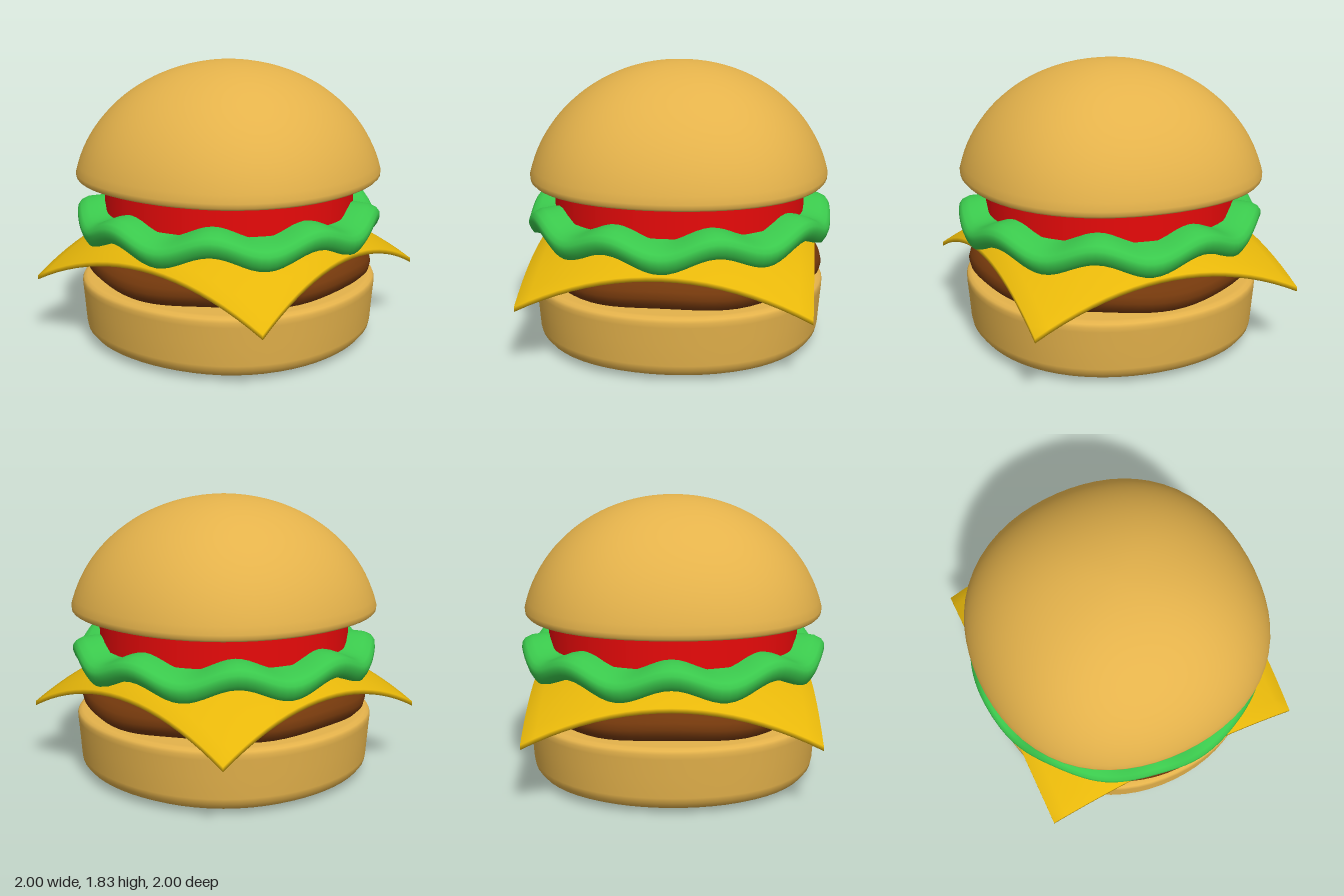
import * as THREE from 'three';
import { mergeVertices } from 'three/addons/utils/BufferGeometryUtils.js';

const material = (name, color) => new THREE.MeshStandardMaterial({ name, color });

// Move every vertex by a rule on (x, y, z), with seams welded and normals smoothed.
function shaped(source, rule) {
  source.deleteAttribute('normal');
  source.deleteAttribute('uv');
  const geometry = mergeVertices(source, 1e-4);
  const p = geometry.attributes.position;
  for (let i = 0; i < p.count; i++) p.setXYZ(i, ...rule(p.getX(i), p.getY(i), p.getZ(i)));
  geometry.computeVertexNormals();
  return geometry;
}

// Revolve [radius, y] points, listed bottom to top.
const turned = (points, segments) =>
  new THREE.LatheGeometry(points.map(([r, y]) => new THREE.Vector2(r, y)), segments);

// Rule: raise or lower by a function of radius and angle from the front.
const wavy = (height) => (x, y, z) => [x, y + height(Math.hypot(x, z), Math.atan2(x, z)), z];

// Rule: swell the diagonals so a round outline becomes slightly square.
const squarish = (amount) => (x, y, z) => {
  const s = 1 + amount * Math.sin(2 * Math.atan2(x, z)) ** 2;
  return [x * s, y, z * s];
};

export function createModel() {
  const burger = new THREE.Group();
  burger.name = 'burger';
  const bun = material('toasted bun', 0xe4b24b);
  const add = (name, geometry, mat) => {
    const mesh = new THREE.Mesh(geometry, mat);
    mesh.name = name;
    burger.add(mesh);
  };

  // Bottom bun: slightly flared, with a rounded base
  add('bottomBun', shaped(turned([
    [0, 0], [0.7, 0], [0.78, 0.004], [0.85, 0.016], [0.9, 0.04], [0.928, 0.075], [0.935, 0.11],
    [0.945, 0.25], [0.954, 0.36], [0.955, 0.39], [0.947, 0.41], [0.925, 0.42], [0.9, 0.422], [0, 0.422],
  ], 64), squarish(0.026)), bun);

  // Patty: domed disc with a gently uneven rim
  add('patty', shaped(turned([
    [0, 0.43], [0.5, 0.43], [0.78, 0.43], [0.85, 0.433], [0.9, 0.45], [0.935, 0.485], [0.945, 0.525],
    [0.935, 0.565], [0.9, 0.598], [0.85, 0.618], [0.75, 0.645], [0.5, 0.68], [0, 0.7],
  ], 72), wavy((r, a) => 0.015 * r * r * Math.cos(6 * a))), material('grilled patty', 0x73380c));

  // Cheese: square slice that droops towards its corners
  add('cheese', shaped(new THREE.BoxGeometry(1.8, 0.03, 1.8, 20, 1, 20),
    (x, y, z) => [x, y + 0.875 - 0.284 * (x * x + z * z), z]), material('yellow cheese', 0xe8b80a));

  // Lettuce: thick leaf with nine waves around the rim
  add('lettuce', shaped(turned([
    [0, 0.77], [0.45, 0.77], [0.7, 0.755], [0.85, 0.74], [0.93, 0.735], [0.965, 0.74], [0.985, 0.77],
    [0.998, 0.805], [0.995, 0.835], [0.975, 0.863], [0.93, 0.885], [0.85, 0.896], [0.7, 0.9], [0.45, 0.9], [0, 0.9],
  ], 126), wavy((r, a) => -0.045 * THREE.MathUtils.smoothstep(r, 0.4, 0.92) * Math.cos(9 * a))),
  material('green lettuce', 0x3ac84c));

  // Tomato slice
  const tomato = new THREE.CylinderGeometry(0.82, 0.82, 0.21, 48);
  tomato.translate(0, 0.975, 0);
  add('tomato', tomato, material('red tomato', 0xec0a0a));

  // Top bun: flat underside, rounded lip and full dome
  const dome = [[0, 1.072], [0.88, 1.072], [0.925, 1.072], [0.955, 1.077], [0.967, 1.09]];
  const start = Math.asin(0.21), steps = 24;
  for (let i = 0; i <= steps; i++) {
    const a = start + (Math.PI / 2 - start) * i / steps;
    dome.push([i === steps ? 0 : 0.992 * Math.cos(a), 0.93 + 0.895 * Math.sin(a)]);
  }
  add('topBun', shaped(turned(dome, 64), squarish(0.033)), bun);

  return burger;
}
